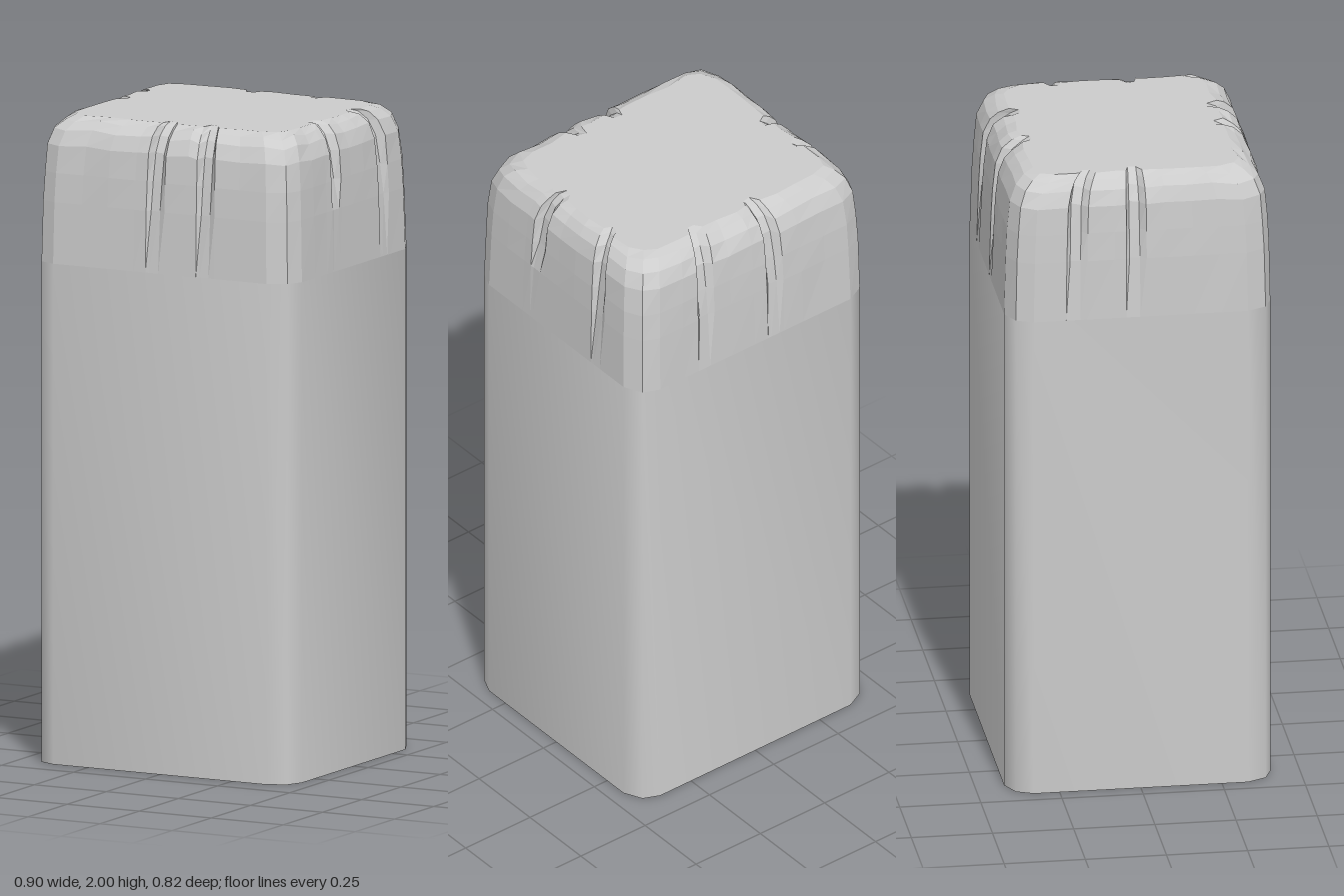
import * as THREE from 'three';
import { toCreasedNormals } from 'three/addons/utils/BufferGeometryUtils.js';

const HX = 0.45, HZ = 0.41, CUT = 0.08, CAP_Y = 1.55;

// Cracks on each side: position along the side (left to right seen from outside), lower end
const sides = [
  { half: HX, out: HZ, cracks: [[-0.02, 1.55], [0.155, 1.7]] },    // front
  { half: HZ, out: HX, cracks: [[-0.1, 1.8], [0.2, 1.7]] },        // left (+x)
  { half: HX, out: HZ, cracks: [[-0.19, 1.7], [0.08, 1.7]] },      // back
  { half: HZ, out: HX, cracks: [[-0.2, 1.7], [-0.015, 1.7]] },     // right (-x)
];

// Outline running round the block, with four points for each crack
function outline(withCracks) {
  const points = [];
  sides.forEach(({ half, out, cracks }, k) => {
    const end = half - CUT;
    const row = [[-end, 0], [end, 0]];
    if (withCracks) {
      for (const [c, low] of cracks) {
        row.push([c - 0.03, 0], [c - 0.018, 1, low], [c + 0.014, 0.85, low], [c + 0.034, 0]);
      }
      for (let i = 1; i < 8; i++) {
        const u = -end + (2 * end * i) / 8;
        if (cracks.every(([c]) => Math.abs(u - c) > 0.055)) row.push([u, 0]);
      }
    }
    row.sort((a, b) => a[0] - b[0]);
    const turn = (u, w) => [[u, w], [w, -u], [-u, -w], [-w, u]][k];
    for (const [u, notch, low = 0] of row) {
      const [x, z] = turn(u, out);
      points.push({ x, z, notch, low, side: k });
    }
    const [x, z] = turn(half - 0.022, out - 0.028);
    points.push({ x, z, notch: 0, low: 0, side: k });
  });
  return points;
}

// Small repeatable unevenness
function noise(i, r) {
  const v = Math.sin(i * 12.9898 + r * 4.137) * 43758.5453;
  return (v - Math.floor(v)) * 2 - 1;
}

// Worn cap rings: height, inset, crack depth, unevenness
const rings = [
  [CAP_Y, 0, 0, 0],
  [1.74, 0.005, 0.01, 0.002],
  [1.83, 0.01, 0.018, 0.002],
  [1.915, 0.018, 0.026, 0.004],
  [1.962, 0.038, 0.032, 0.006],
  [1.987, 0.066, 0.034, 0.007],
  [2.0, 0.096, 0.028, 0.009],
];

function wornCapGeometry() {
  const base = outline(true), n = base.length;
  const positions = [], index = [];
  rings.forEach(([y, inset, depth, rough], r) => {
    base.forEach((p, i) => {
      const wear = inset + rough * (0.6 * noise(i, 0) + 0.4 * noise(i, r));
      const notch = y > p.low ? p.notch * depth : 0;
      const alongX = p.side % 2 === 1;
      const x = p.x * (1 - (wear * 0.85) / HX) - (alongX ? Math.sign(p.x) * notch : 0);
      const z = p.z * (1 - wear / HZ) - (alongX ? 0 : Math.sign(p.z) * notch);
      const drop = r > 2 && r < 6 ? rough * noise(i, 9) : 0;
      positions.push(x, y + drop, z);
    });
  });
  for (let r = 0; r < rings.length - 1; r++) {
    for (let i = 0; i < n; i++) {
      const j = (i + 1) % n;
      const a = r * n + i, b = r * n + j, c = b + n, d = a + n;
      index.push(a, b, c, a, c, d);
    }
  }
  // Flat top
  const centre = positions.length / 3, last = (rings.length - 1) * n;
  positions.push(0, 2, 0);
  for (let i = 0; i < n; i++) index.push(last + i, last + ((i + 1) % n), centre);

  const geometry = new THREE.BufferGeometry();
  geometry.setAttribute('position', new THREE.Float32BufferAttribute(positions, 3));
  geometry.setIndex(index);
  return geometry;
}

export function createModel() {
  const group = new THREE.Group();
  group.name = 'stonePillar';

  // Straight shaft with softened corners
  const shape = new THREE.Shape(outline(false).map((p) => new THREE.Vector2(p.x, -p.z)));
  const shaftGeometry = new THREE.ExtrudeGeometry(shape, { depth: CAP_Y, bevelEnabled: false });
  shaftGeometry.rotateX(-Math.PI / 2);
  const shaft = new THREE.Mesh(
    toCreasedNormals(shaftGeometry, 0.75),
    new THREE.MeshStandardMaterial({ color: 0xcccccc }),
  );
  shaft.name = 'shaft';

  // Chipped and cracked upper end
  const cap = new THREE.Mesh(
    wornCapGeometry(),
    new THREE.MeshStandardMaterial({ color: 0xcccccc, flatShading: true }),
  );
  cap.name = 'wornCap';

  group.add(shaft, cap);
  return group;
}
